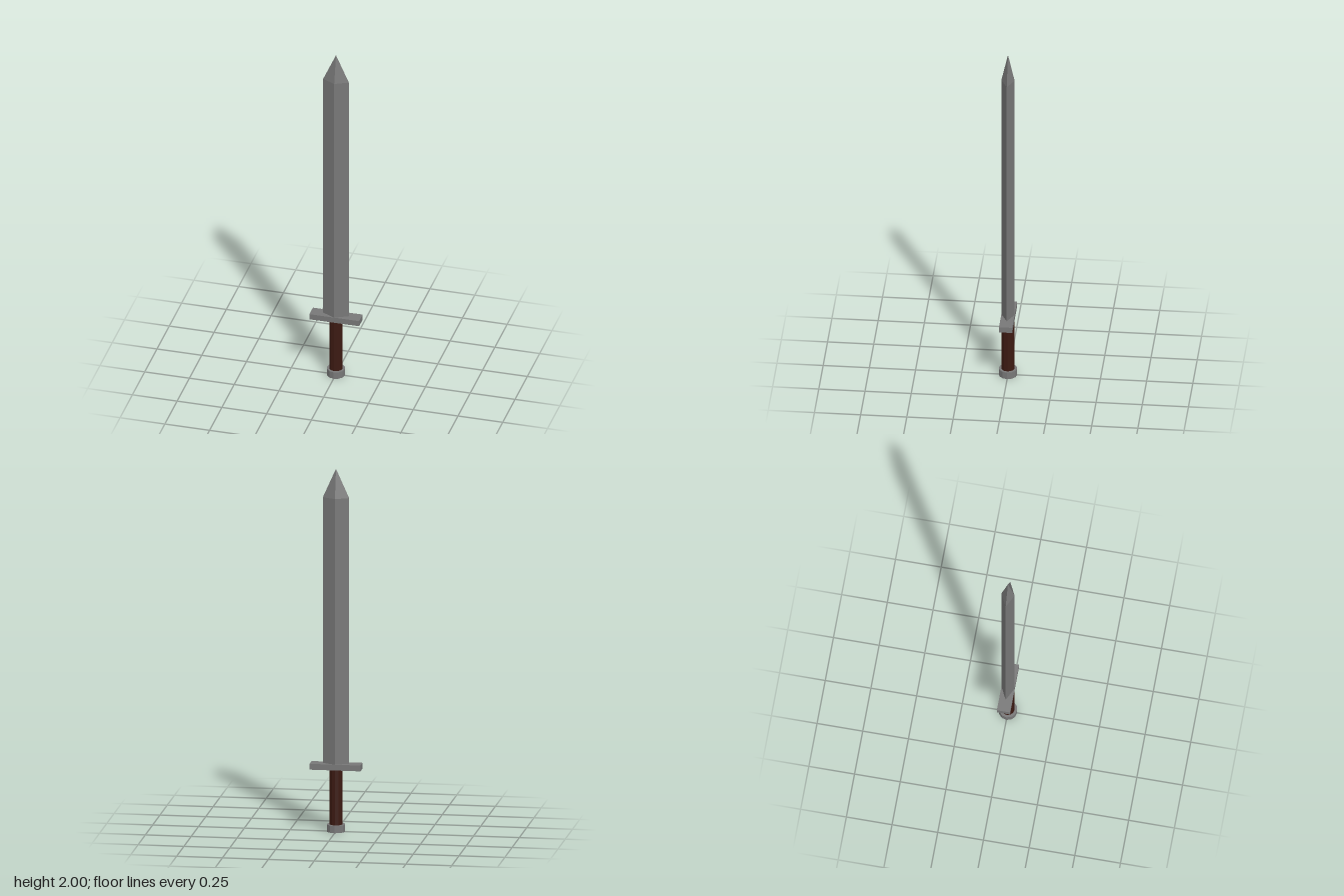
import * as THREE from 'three';

export function createModel() {
  const sword = new THREE.Group();
  sword.name = 'sword';

  const steel = new THREE.MeshStandardMaterial({ color: 0x787878, flatShading: true });
  const leather = new THREE.MeshStandardMaterial({ color: 0x3c1a12, flatShading: true });

  // Adds a mesh whose geometry is centred between two heights
  const add = (name, geometry, material, bottom, top, parent = sword) => {
    const mesh = new THREE.Mesh(geometry, material);
    mesh.name = name;
    mesh.position.y = (bottom + top) / 2;
    parent.add(mesh);
    return mesh;
  };
  const prism = (radius, height, sides, open = false) =>
    new THREE.CylinderGeometry(radius, radius, height, sides, 1, open);

  // Twelve-sided pommel and grip
  add('pommel', prism(0.05, 0.04, 12), steel, 0, 0.04);
  add('grip', prism(0.036, 0.31, 12), leather, 0.036, 0.346);

  // Flat crossguard
  add('crossguard', new THREE.BoxGeometry(0.278, 0.032, 0.072), steel, 0.343, 0.375);

  // Diamond-section blade with a pyramid point
  const blade = new THREE.Group();
  blade.name = 'blade';
  blade.scale.z = 0.5;
  sword.add(blade);
  const shoulder = 1.84;
  add('bladeBody', prism(0.072, shoulder - 0.37, 4, true), steel, 0.37, shoulder, blade);
  add('bladePoint', new THREE.ConeGeometry(0.072, 2 - shoulder, 4, 1, true), steel, shoulder, 2, blade);

  return sword;
}
